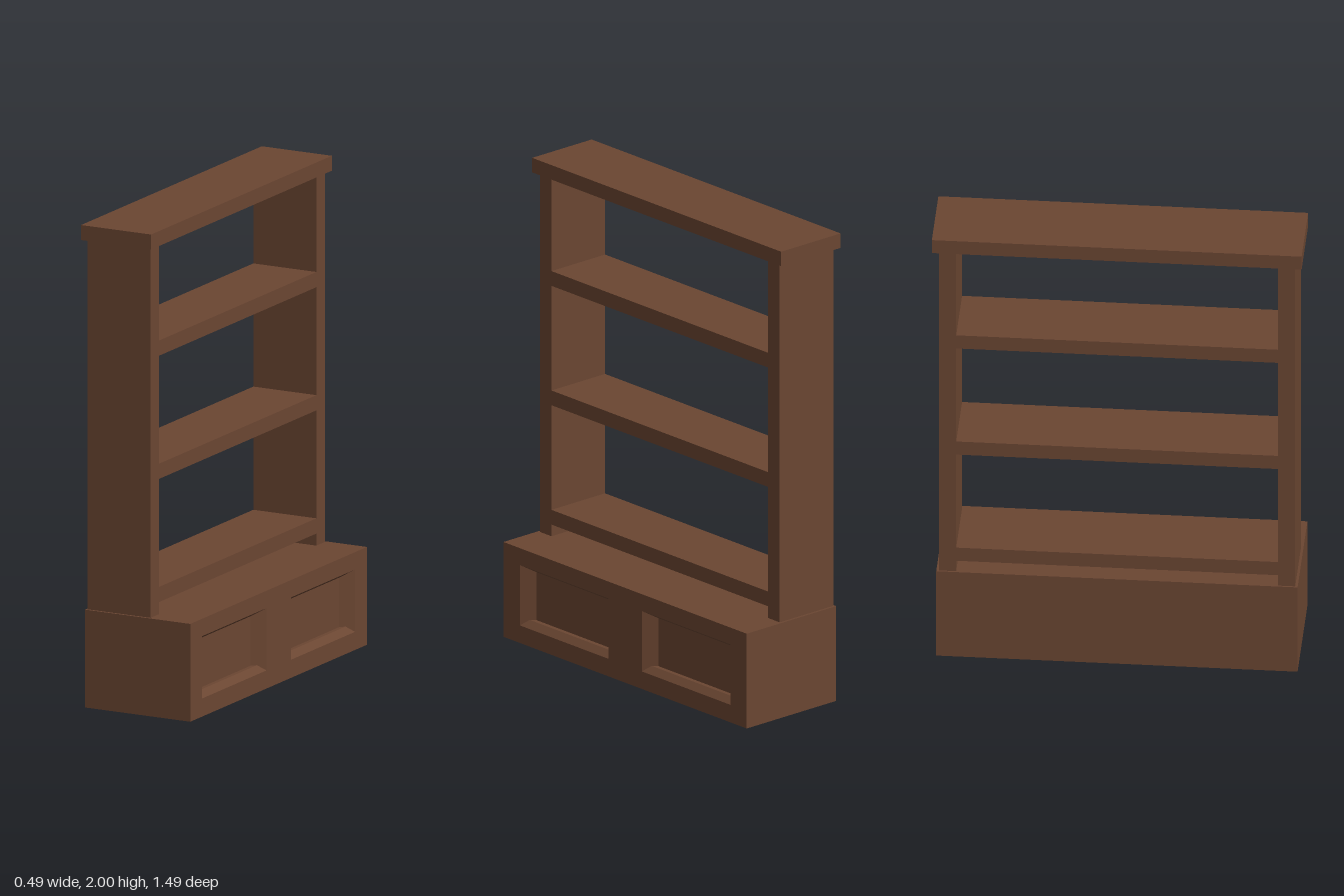
import * as THREE from 'three';

const wood = new THREE.MeshStandardMaterial({ color: 0x6b4632 });

function add(parent, name, geometry) {
  const mesh = new THREE.Mesh(geometry, wood);
  mesh.name = name;
  parent.add(mesh);
  return mesh;
}

// Box given by its limits on each axis
function boxGeo([x0, x1], [y0, y1], [z0, z1]) {
  return new THREE.BoxGeometry(x1 - x0, y1 - y0, z1 - z0)
    .translate((x0 + x1) / 2, (y0 + y1) / 2, (z0 + z1) / 2);
}

// Flat-faced geometry from convex polygons, corners counter-clockwise
function polygonsGeo(polygons) {
  const points = [];
  for (const p of polygons) {
    for (let i = 1; i < p.length - 1; i++) points.push(...p[0], ...p[i], ...p[i + 1]);
  }
  const geo = new THREE.BufferGeometry();
  geo.setAttribute('position', new THREE.Float32BufferAttribute(points, 3));
  geo.computeVertexNormals();
  return geo;
}

// Sunken panel facing +z: sloped sides and top, sloped sill with a flat ledge
function recessGeo(halfWidth, bottom, top) {
  const depth = 0.045, inset = 0.05, sill = 0.6;
  const w = halfWidth, wi = w - inset, ws = w - inset * sill;
  const yi = bottom + 0.025, ti = top - 0.028, ds = -depth * sill;
  const oBL = [-w, bottom, 0], oBR = [w, bottom, 0], oTR = [w, top, 0], oTL = [-w, top, 0];
  const sL = [-ws, yi, ds], sR = [ws, yi, ds];
  const iBL = [-wi, yi, -depth], iBR = [wi, yi, -depth];
  const iTR = [wi, ti, -depth], iTL = [-wi, ti, -depth];
  return polygonsGeo([
    [iBL, iBR, iTR, iTL],
    [oBL, oBR, sR, sL],
    [sL, sR, iBR, iBL],
    [oTL, iTL, iTR, oTR],
    [oBL, sL, iBL, iTL, oTL],
    [oBR, oTR, iTR, iBR, sR],
  ]);
}

export function createModel() {
  const model = new THREE.Group();
  model.name = 'bookcase';

  // Base cabinet: a box whose +x side is replaced by the panelled face
  const base = new THREE.Group();
  base.name = 'baseCabinet';
  model.add(base);
  const frontX = 0.245, baseTop = 0.405, halfZ = 0.728;
  const shell = boxGeo([-0.24, frontX], [0, baseTop], [-halfZ, halfZ]);
  shell.setIndex(Array.from(shell.index.array).slice(6));
  shell.clearGroups();
  add(base, 'cabinetBody', shell);

  const panelHalf = 0.265, panelBottom = 0.075, panelTop = 0.333;
  const face = new THREE.Shape([
    new THREE.Vector2(-halfZ, 0), new THREE.Vector2(halfZ, 0),
    new THREE.Vector2(halfZ, baseTop), new THREE.Vector2(-halfZ, baseTop),
  ]);
  for (const side of [-1, 1]) {
    const c = side * 0.365;
    face.holes.push(new THREE.Path([
      new THREE.Vector2(c - panelHalf, panelBottom), new THREE.Vector2(c - panelHalf, panelTop),
      new THREE.Vector2(c + panelHalf, panelTop), new THREE.Vector2(c + panelHalf, panelBottom),
    ]));
    add(base, 'sunkenPanel', recessGeo(panelHalf, panelBottom, panelTop)
      .translate(c, 0, 0).rotateY(Math.PI / 2).translate(frontX, 0, 0));
  }
  add(base, 'cabinetFace', new THREE.ShapeGeometry(face)
    .rotateY(Math.PI / 2).translate(frontX, 0, 0));

  // Uprights
  const depthX = [-0.233, 0.057], topY = 1.938;
  for (const [name, z] of [['leftUpright', [0.648, 0.718]], ['rightUpright', [-0.718, -0.648]]]) {
    add(model, name, boxGeo(depthX, [baseTop, topY], z));
  }

  // Shelves
  for (const y of [0.455, 0.965, 1.475]) {
    add(model, 'shelf', boxGeo(depthX, [y, y + 0.063], [-0.648, 0.648]));
  }

  // Top board
  add(model, 'topBoard', boxGeo([-0.248, 0.074], [topY, 2], [-0.745, 0.745]));

  return model;
}
